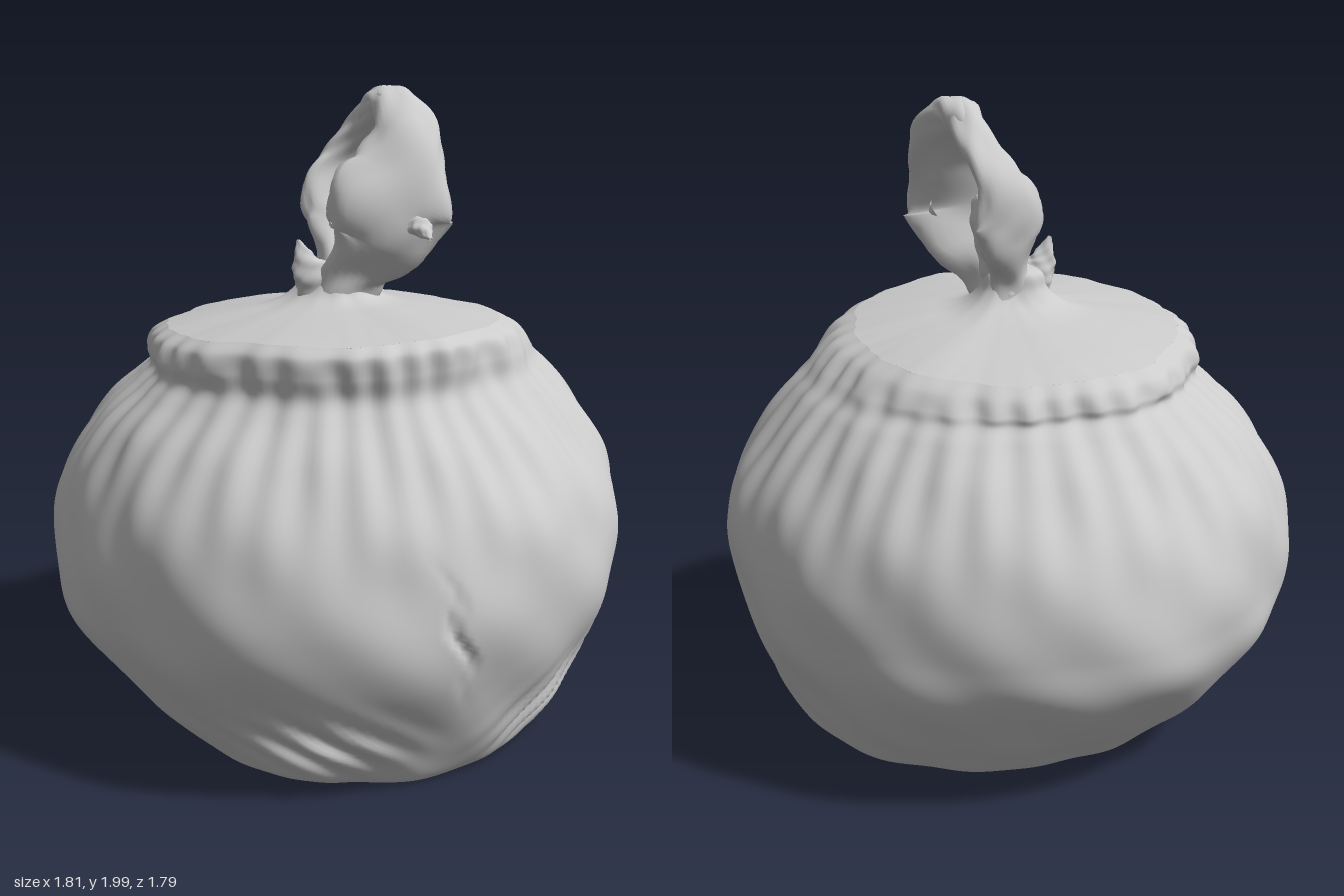
import * as THREE from 'three';
import { mergeVertices } from 'three/addons/utils/BufferGeometryUtils.js';
import { ParametricGeometry } from 'three/addons/geometries/ParametricGeometry.js';

const clay = new THREE.MeshStandardMaterial({ color: 0xcccccc, side: THREE.DoubleSide });
const smooth = THREE.MathUtils.smoothstep;
const bump = (x, c, w) => Math.exp(-(((x - c) / w) ** 2));

// Smooth, seam-free mesh from a rule (u around, v along)
function surface(name, rule, nu, nv) {
  let geo = new ParametricGeometry(rule, nu, nv);
  geo.deleteAttribute('uv');
  geo.deleteAttribute('normal');
  geo = mergeVertices(geo, 1e-5);
  geo.computeVertexNormals();
  const mesh = new THREE.Mesh(geo, clay);
  mesh.name = name;
  return mesh;
}

// Height, then radius towards +z, +x, -z, -x
const bodyLevels = [
  [0.0, 0.65, 0.66, 0.51, 0.54], [0.03, 0.68, 0.69, 0.55, 0.57],
  [0.1, 0.72, 0.73, 0.62, 0.64], [0.2, 0.77, 0.78, 0.72, 0.73],
  [0.4, 0.86, 0.86, 0.87, 0.87], [0.55, 0.89, 0.89, 0.9, 0.9],
  [0.7, 0.87, 0.9, 0.89, 0.89], [0.85, 0.82, 0.86, 0.84, 0.84],
  [1.0, 0.71, 0.76, 0.73, 0.74], [1.1, 0.61, 0.68, 0.63, 0.63],
  [1.15, 0.565, 0.63, 0.585, 0.585], [1.2, 0.57, 0.59, 0.58, 0.59],
  [1.25, 0.57, 0.54, 0.56, 0.575], [1.28, 0.54, 0.48, 0.52, 0.53],
];
const lidLevels = [
  [1.28, 0.54, 0.48, 0.52, 0.53], [1.3, 0.42, 0.39, 0.42, 0.42],
  [1.32, 0.28, 0.28, 0.28, 0.3], [1.335, 0.19, 0.18, 0.17, 0.22],
  [1.36, 0.14, 0.12, 0.09, 0.16], [1.4, 0.12, 0.08, 0.05, 0.12],
  [1.45, 0.1, 0.06, 0.04, 0.1], [1.47, 0.0, 0.0, 0.0, 0.0],
];
const baseLevels = [[0, 0, 0, 0, 0], [0, 0.65, 0.66, 0.51, 0.54]];

// Hand-worked surface: lumps, shoulder ribs, scalloped rim and oblique folds
function relief(a, y) {
  const x = Math.sin(a), front = smooth(Math.cos(a), 0, 0.5);
  const lumps = 0.006 * Math.sin(5 * a + 7 * y) + 0.005 * Math.sin(9 * a - 11 * y + 1)
    + 0.004 * Math.sin(14 * a + 17 * y + 2);
  const ribs = 0.008 * bump(y, 1.02, 0.2) * Math.sin(38 * a + Math.sin(3 * a));
  const rim = 0.008 * bump(y, 1.22, 0.05) * Math.sin(30 * a + 2 * Math.sin(4 * a));
  const folds = 0.02 * front * bump(y, 0.17, 0.11) * (
    bump(x, -0.42, 0.25) * Math.sin(48 * (y + 0.6 * x))
    + bump(x, 0.6, 0.25) * Math.sin(48 * (y - 0.7 * x)));
  const crack = -0.025 * front * bump(y, 0.55, 0.14)
    * bump(x, 0.03 + 0.25 * (0.55 - y) + 0.02 * Math.sin(30 * y), 0.015);
  return lumps + ribs + rim + folds + crack;
}

// Turned form with a different profile on each of its four sides
function turned(name, levels, nu, nv) {
  const sides = [1, 2, 3, 4].map(k =>
    new THREE.SplineCurve(levels.map(l => new THREE.Vector2(l[k], l[0]))));
  return surface(name, (u, v, target) => {
    const a = (u % 1) * Math.PI * 2, q = Math.floor((u % 1) * 4);
    const p = sides[q].getPoint(v), next = sides[(q + 1) % 4].getPoint(v);
    let r = THREE.MathUtils.lerp(p.x, next.x, Math.sin(a - q * Math.PI / 2) ** 2);
    r += relief(a, p.y) * smooth(r, 0, 0.4);
    const z = r * Math.cos(a);
    // The rim and lid dip towards the back
    const y = p.y + smooth(p.y, 1.1, 1.25) * (0.07 * z + 0.006 * Math.sin(6 * a) * r);
    target.set(r * Math.sin(a), y, z);
  }, nu, nv);
}

// Flattened strip: points are [x, y, z, half width, half thickness], width along "across"
function strip(name, points, across) {
  const path = new THREE.CatmullRomCurve3(points.map(p => new THREE.Vector3(p[0], p[1], p[2])));
  const size = new THREE.CatmullRomCurve3(points.map(p => new THREE.Vector3(p[3], p[4], 0)));
  return surface(name, (u, v, target) => {
    const a = (u % 1) * Math.PI * 2, t = path.getTangent(v), s = size.getPoint(v);
    const w = across.clone().addScaledVector(t, -across.dot(t)).normalize();
    const n = t.clone().cross(w);
    const rough = 1 + 0.07 * Math.sin(3 * a + 19 * v) + 0.05 * Math.sin(5 * a - 31 * v);
    target.copy(path.getPoint(v))
      .addScaledVector(w, s.x * rough * Math.cos(a))
      .addScaledVector(n, s.y * rough * Math.sin(a));
  }, 28, 60);
}

export function createModel() {
  const model = new THREE.Group();
  model.name = 'liddedPot';

  model.add(turned('potBody', bodyLevels, 240, 120));
  model.add(turned('lid', lidLevels, 180, 40));
  const base = turned('base', baseLevels, 240, 4);
  model.add(base);

  // Pinched loop handle: a broad front leaf bending over to a thinner back arm
  const handle = new THREE.Group();
  handle.name = 'handle';
  handle.add(strip('frontLeaf', [
    [-0.02, 1.34, 0.05, 0.11, 0.07], [0.02, 1.44, 0.09, 0.1, 0.06],
    [0.08, 1.54, 0.16, 0.16, 0.06], [0.09, 1.64, 0.19, 0.19, 0.05],
    [0.14, 1.76, 0.17, 0.14, 0.045], [0.17, 1.87, 0.11, 0.1, 0.05],
    [0.15, 1.94, 0.03, 0.06, 0.05], [0.12, 1.89, -0.04, 0.05, 0.04],
  ], new THREE.Vector3(0.95, 0, 0.25).normalize()));
  handle.add(strip('backArm', [
    [-0.02, 1.34, 0.0, 0.1, 0.06], [0.0, 1.45, -0.02, 0.06, 0.05],
    [0.02, 1.56, -0.08, 0.1, 0.05], [0.02, 1.65, -0.11, 0.12, 0.035],
    [0.06, 1.76, -0.12, 0.08, 0.035], [0.11, 1.86, -0.07, 0.06, 0.04],
    [0.14, 1.94, 0.02, 0.05, 0.045], [0.15, 1.95, 0.07, 0.04, 0.03],
  ], new THREE.Vector3(0.9, 0, -0.4).normalize()));

  // Web of clay closing the lower part of the loop
  handle.add(strip('web', [
    [0.0, 1.38, 0.03, 0.09, 0.06], [0.03, 1.48, 0.04, 0.1, 0.05],
    [0.05, 1.58, 0.03, 0.14, 0.04], [0.05, 1.66, 0.02, 0.11, 0.02],
    [0.05, 1.69, 0.02, 0.01, 0.005],
  ], new THREE.Vector3(0.15, 0, 1).normalize()));

  // Torn spurs on the neck and the leaf
  handle.add(strip('neckSpur', [
    [-0.06, 1.37, 0.05, 0.08, 0.04], [-0.12, 1.45, 0.06, 0.05, 0.025],
    [-0.15, 1.54, 0.06, 0.005, 0.005],
  ], new THREE.Vector3(1, 0, 0)));
  handle.add(strip('leafSpur', [
    [0.15, 1.62, 0.18, 0.06, 0.04], [0.17, 1.59, 0.24, 0.04, 0.03],
    [0.18, 1.56, 0.3, 0.005, 0.005],
  ], new THREE.Vector3(1, 0, 0)));
  model.add(handle);

  return model;
}
